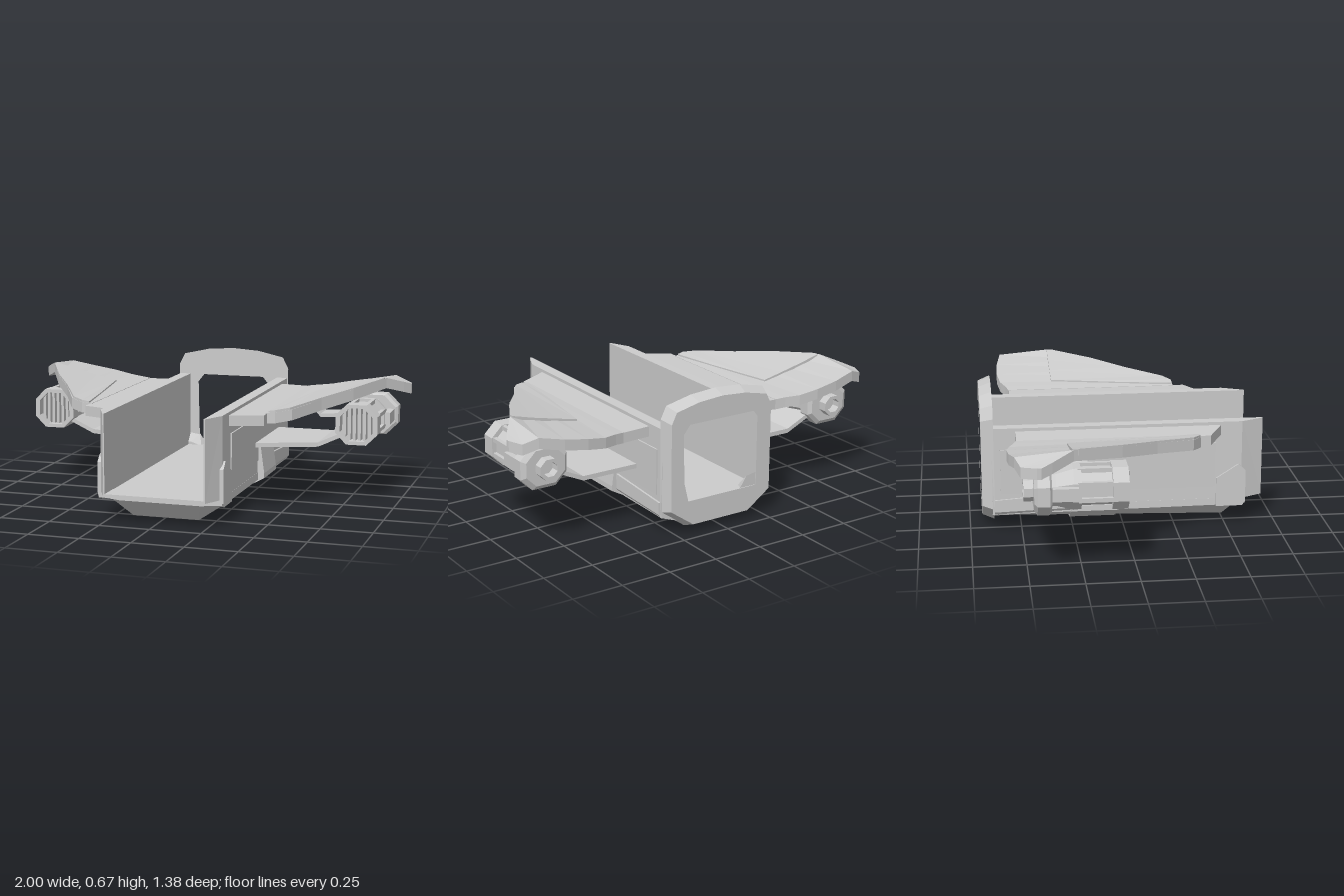
import * as THREE from 'three';

const material = new THREE.MeshStandardMaterial({ color: 0xcccccc, flatShading: true });

// Solid through convex cross-sections (arrays of [x, y, z]), capped at both ends.
function loft(sections) {
  const pos = [];
  const tri = (a, b, c) => pos.push(...a, ...b, ...c);
  const n = sections[0].length;
  for (let s = 0; s < sections.length - 1; s++) {
    const p = sections[s], q = sections[s + 1];
    for (let i = 0; i < n; i++) {
      const j = (i + 1) % n;
      tri(p[i], p[j], q[j]);
      tri(p[i], q[j], q[i]);
    }
  }
  const first = sections[0], last = sections[sections.length - 1];
  for (let i = 1; i < n - 1; i++) {
    tri(first[0], first[i + 1], first[i]);
    tri(last[0], last[i], last[i + 1]);
  }
  const g = new THREE.BufferGeometry();
  g.setAttribute('position', new THREE.Float32BufferAttribute(pos, 3));
  // Turn the faces outward if the loops ran the other way.
  let volume = 0;
  const [a, b, c] = [0, 1, 2].map(() => new THREE.Vector3());
  const p = g.attributes.position;
  for (let i = 0; i < p.count; i += 3) {
    a.fromBufferAttribute(p, i); b.fromBufferAttribute(p, i + 1); c.fromBufferAttribute(p, i + 2);
    volume += a.dot(b.cross(c));
  }
  if (volume < 0) flip(g);
  g.computeVertexNormals();
  return g;
}

function flip(g) {
  const p = g.attributes.position;
  for (let i = 0; i < p.count; i += 3) {
    const v = [p.getX(i), p.getY(i), p.getZ(i)];
    p.setXYZ(i, p.getX(i + 1), p.getY(i + 1), p.getZ(i + 1));
    p.setXYZ(i + 1, ...v);
  }
}

function mirror(geometry) {
  const g = geometry.clone().scale(-1, 1, 1);
  flip(g);
  g.computeVertexNormals();
  return g;
}

// The same section placed at z, from [x, y] points.
const at = (z, pts) => pts.map(([x, y]) => [x, y, z]);
// Right half outline completed to the left.
const whole = half => [...half, ...half.slice().reverse().filter(p => p[0] > 0).map(([x, y]) => [-x, y])];
const box = (x0, x1, y0, y1, z0, z1) =>
  loft([z0, z1].map(z => at(z, [[x0, y0], [x1, y0], [x1, y1], [x0, y1]])));
// Plate from stations across x: [x, zFront, zBack, yFront, yBack], thickness t.
const plate = (stations, t) => loft(stations.map(([x, zf, zb, yf, yb = yf]) =>
  [[x, yf, zf], [x, yb, zb], [x, yb - t, zb], [x, yf - t, zf]]));
// Corner-cut rectangle round (cx, cy).
function octagon(cx, cy, w, h, c) {
  const a = w / 2, b = h / 2;
  return [[a, b - c], [a - c, b], [c - a, b], [-a, b - c], [-a, c - b], [c - a, -b], [a - c, -b], [a, c - b]]
    .map(([x, y]) => [cx + x, cy + y]);
}

function frame(outer, hole, z0, z1) {
  const shape = new THREE.Shape(outer.map(p => new THREE.Vector2(...p)));
  shape.holes.push(new THREE.Path(hole.map(p => new THREE.Vector2(...p))));
  const g = new THREE.ExtrudeGeometry(shape, { depth: z1 - z0, bevelEnabled: false }).translate(0, 0, z0);
  g.clearGroups();
  return g;
}

export function createModel() {
  const model = new THREE.Group();
  model.name = 'cargoCraft';
  const add = (name, g, parent = model) => {
    const mesh = new THREE.Mesh(g, material);
    mesh.name = name;
    parent.add(mesh);
  };
  const pair = (name, g) => {
    add(name + 'Left', g);
    add(name + 'Right', mirror(g));
  };

  // Open cargo tray
  add('trayFloor', box(-0.3, 0.3, 0.12, 0.135, -0.64, 0.58));
  add('trayLip', loft([[0.58, 0.3], [0.69, 0.25]].map(([z, x]) =>
    at(z, [[-x, 0.125], [x, 0.125], [x, 0.137], [-x, 0.137]]))));
  const wall = (z, low, high) => at(z, [[0.243, 0.125], [low, 0.125], [high, 0.52], [0.243, 0.52]]);
  pair('trayWall', loft([wall(0.69, 0.25, 0.25), wall(0.58, 0.304, 0.3), wall(-0.64, 0.304, 0.3)]));
  pair('sidePanel', box(0.29, 0.308, 0.19, 0.415, -0.6, 0.45));
  pair('sideRail', loft([
    at(-0.26, [[0.28, 0.09], [0.3, 0.09], [0.314, 0.11], [0.314, 0.185], [0.28, 0.185]]),
    at(-0.63, [[0.28, 0.08], [0.3, 0.08], [0.314, 0.1], [0.314, 0.16], [0.28, 0.16]])]));
  const bracket = [[0.27, 0.6], [0.305, 0.565], [0.235, 0.455], [0.09, 0.455], [0.09, 0.585], [0.11, 0.6]];
  pair('frontBracket', loft([0.27, 0.312].map(x => bracket.map(([y, z]) => [x, y, z]))));

  // Belly and the band round its middle
  const belly = (z, top, side, x, y) => at(z, whole([[0.305, top], [0.305, side], [x, y]]));
  add('belly', loft([belly(0.6, 0.13, 0.1, 0.2, 0.09), belly(0.51, 0.13, 0.095, 0.165, 0),
    belly(-0.64, 0.125, 0.085, 0.17, 0.035)]));
  const band = whole([[0.318, 0.27], [0.338, 0.125], [0.338, 0.1], [0.175, 0.013]]);
  // Split into two flanks and a keel so the tray stays open
  pair('bandFlank', loft([-0.26, -0.03].map(z =>
    at(z, [[0.28, 0.27], [0.318, 0.27], [0.338, 0.125], [0.338, 0.1], [0.28, 0.1]]))));
  const keel = band.filter(p => p[1] < 0.11);
  add('bandKeel', loft([-0.26, -0.03].map(z => at(z, keel))));

  // Rear frame, narrowing behind with a flared opening
  const outer = whole([[0, 0.67], [0.14, 0.66], [0.275, 0.63], [0.305, 0.57], [0.305, 0.11], [0.17, 0.015]]);
  const hole = whole([[0.165, 0.52], [0.197, 0.48], [0.19, 0.18], [0.15, 0.135]]);
  const ring = frame(outer, hole, -0.69, -0.63);
  const rp = ring.attributes.position;
  for (let i = 0; i < rp.count; i++) {
    if (rp.getZ(i) > -0.66) continue;
    const x = rp.getX(i), y = rp.getY(i);
    const inner = Math.abs(x) < 0.25 && y > 0.12 && y < 0.53;
    const k = inner ? 1.1 : 0.93;
    rp.setXY(i, x * k, 0.34 + (y - 0.34) * k);
  }
  ring.computeVertexNormals();
  add('rearFrame', ring);
  pair('floorGusset', loft([
    at(-0.635, [[0.15, 0.13], [0.25, 0.13], [0.25, 0.2], [0.19, 0.19]]),
    at(-0.59, [[0.17, 0.13], [0.25, 0.13], [0.25, 0.15], [0.23, 0.15]])]));

  // Wings: flat root, rising blade with a drooped tip, raised leading plate
  pair('wingRoot', plate([[0.29, 0.48, -0.525, 0.505], [0.45, 0.4, -0.525, 0.5]], 0.05));
  pair('wingBlade', plate([
    [0.44, 0.345, -0.527, 0.502], [0.49, 0.345, -0.54, 0.507], [0.56, 0.3, -0.565, 0.517, 0.512],
    [0.66, 0.115, -0.58, 0.54, 0.53], [0.78, -0.06, -0.575, 0.567, 0.55], [0.9, -0.29, -0.555, 0.598, 0.575],
    [0.97, -0.39, -0.53, 0.567, 0.55], [1, -0.44, -0.46, 0.552]], 0.052));
  pair('wingLeadingPlate', plate([
    [0.455, 0.34, 0.32, 0.512], [0.49, 0.343, 0.09, 0.518, 0.513], [0.55, 0.302, -0.295, 0.526, 0.52],
    [0.66, 0.113, -0.295, 0.55, 0.544], [0.78, -0.062, -0.295, 0.576, 0.571], [0.89, -0.27, -0.295, 0.6]], 0.03));

  // Lower pylon and upper strut holding each engine
  pair('lowerPylon', plate([[0.3, 0.03, -0.43, 0.29], [0.6, -0.08, -0.43, 0.29],
    [0.74, -0.08, -0.43, 0.355]], 0.022));
  pair('upperStrut', plate([[0.52, -0.2, -0.32, 0.485], [0.585, -0.2, -0.32, 0.415],
    [0.72, -0.2, -0.32, 0.425]], 0.018));

  // Engines
  const cx = 0.8, cy = 0.395;
  const tube = (stages) => loft(stages.map(([z, w, h, c, x = cx]) => at(z, octagon(x, cy, w, h, c))));
  pair('intakeRing', frame(octagon(cx, cy, 0.21, 0.2, 0.055), octagon(cx, cy, 0.165, 0.165, 0.045), -0.115, -0.042));
  for (let i = 0; i < 6; i++) {
    const x = cx - 0.0625 + i * 0.025, h = i === 0 || i === 5 ? 0.062 : 0.08;
    pair('intakeSlat' + (i + 1), box(x - 0.007, x + 0.007, cy - h, cy + h, -0.1, -0.06));
  }
  pair('engineCore', tube([[-0.1, 0.165, 0.165, 0.045], [-0.26, 0.165, 0.165, 0.045]]));
  octagon(cx, cy, 0.18, 0.175, 0.05).forEach(([x, y], i) =>
    pair('engineRail' + (i + 1), box(x - 0.01, x + 0.01, y - 0.01, y + 0.01, -0.27, -0.11)));
  pair('engineBody', tube([[-0.255, 0.2, 0.195, 0.055], [-0.29, 0.2, 0.195, 0.055],
    [-0.37, 0.18, 0.15, 0.045], [-0.41, 0.18, 0.15, 0.045]]));
  pair('engineSpine', box(cx + 0.05, cx + 0.125, cy - 0.03, cy + 0.03, -0.41, -0.27));
  pair('rearCollar', tube([[-0.39, 0.22, 0.195, 0.06, 0.82], [-0.4, 0.24, 0.21, 0.06, 0.823],
    [-0.455, 0.24, 0.21, 0.06, 0.823], [-0.47, 0.2, 0.17, 0.05, 0.82]]));
  pair('nozzle', frame(octagon(0.82, cy, 0.105, 0.1, 0.03), octagon(0.82, cy, 0.07, 0.065, 0.02), -0.515, -0.46));

  return model;
}
